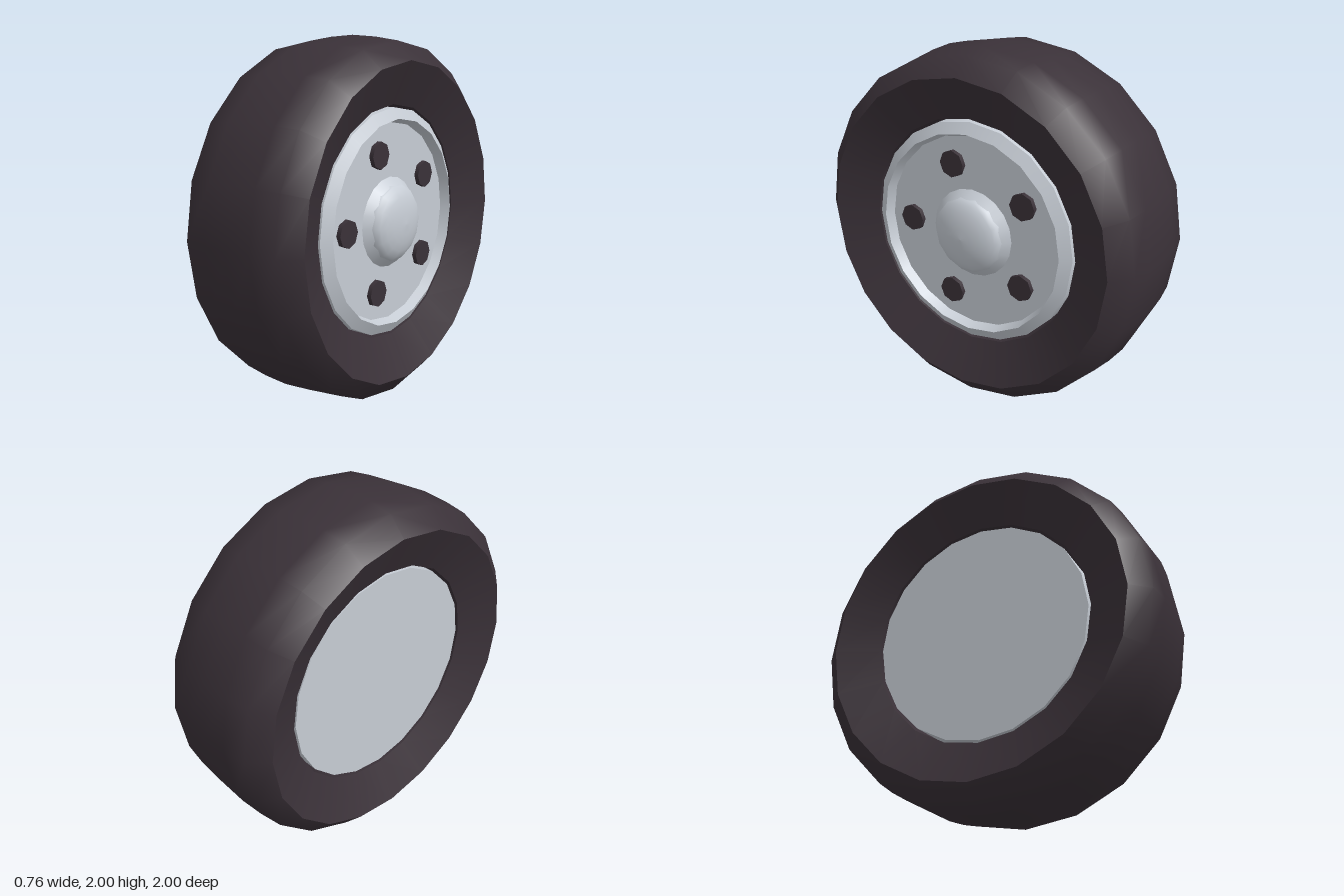
import * as THREE from 'three';
import { mergeGeometries } from 'three/addons/utils/BufferGeometryUtils.js';

// Turned part along the x axis; each profile is a smooth band of [radius, x], with creases between bands
function turned(name, material, sides, profiles) {
  const bands = profiles.map((p) =>
    new THREE.LatheGeometry(p.map(([r, x]) => new THREE.Vector2(r, x)), sides));
  const geometry = mergeGeometries(bands);
  geometry.rotateZ(-Math.PI / 2);
  const mesh = new THREE.Mesh(geometry, material);
  mesh.name = name;
  return mesh;
}

export function createModel() {
  const rubber = new THREE.MeshStandardMaterial({ color: 0x3a3138 });
  rubber.name = 'dark rubber';
  const metal = new THREE.MeshStandardMaterial({ color: 0xc6ccd4 });
  metal.name = 'light metal';

  const wheel = new THREE.Group();
  wheel.name = 'wheel';

  // Tyre: rounded tread, two dished sidewalls and the bore
  wheel.add(turned('tyre', rubber, 20, [
    [[0.64, -0.27], [0.87, -0.38]],
    [[0.87, -0.38], [0.97, -0.29], [0.99, -0.15], [1, 0], [0.99, 0.15], [0.97, 0.29], [0.87, 0.38]],
    [[0.87, 0.38], [0.64, 0.27]],
    [[0.64, 0.27], [0.64, -0.27]],
  ]));

  // Rim: flat back, barrel, raised lip and recessed face
  wheel.add(turned('rim', metal, 20, [
    [[0, -0.265], [0.625, -0.265]],
    [[0.625, -0.265], [0.625, 0.27]],
    [[0.625, 0.27], [0.565, 0.305]],
    [[0.565, 0.305], [0.545, 0.25]],
    [[0.545, 0.25], [0, 0.25]],
  ]));

  // Hub: tapered collar with a shallow domed cap
  wheel.add(turned('hubCollar', metal, 20, [
    [[0.26, 0.24], [0.2, 0.3]],
    [[0.2, 0.3], [0, 0.3]],
  ]));
  const dome = [];
  for (let i = 0; i <= 6; i++) {
    const a = (i / 6) * Math.PI / 2;
    dome.push([0.215 * Math.cos(a), 0.28 + 0.085 * Math.sin(a)]);
  }
  dome[6][0] = 0;
  wheel.add(turned('hubCap', metal, 14, [dome]));

  // Five wheel bolts around the hub
  const boltGeometry = new THREE.CylinderGeometry(0.075, 0.075, 0.05, 8);
  boltGeometry.rotateZ(-Math.PI / 2);
  for (let i = 0; i < 5; i++) {
    const a = (i / 5) * Math.PI * 2 + 0.02;
    const bolt = new THREE.Mesh(boltGeometry, rubber);
    bolt.name = 'wheelBolt';
    bolt.position.set(0.25, 0.395 * Math.sin(a), 0.395 * Math.cos(a));
    wheel.add(bolt);
  }

  wheel.position.y = 1;
  const model = new THREE.Group();
  model.add(wheel);
  return model;
}
